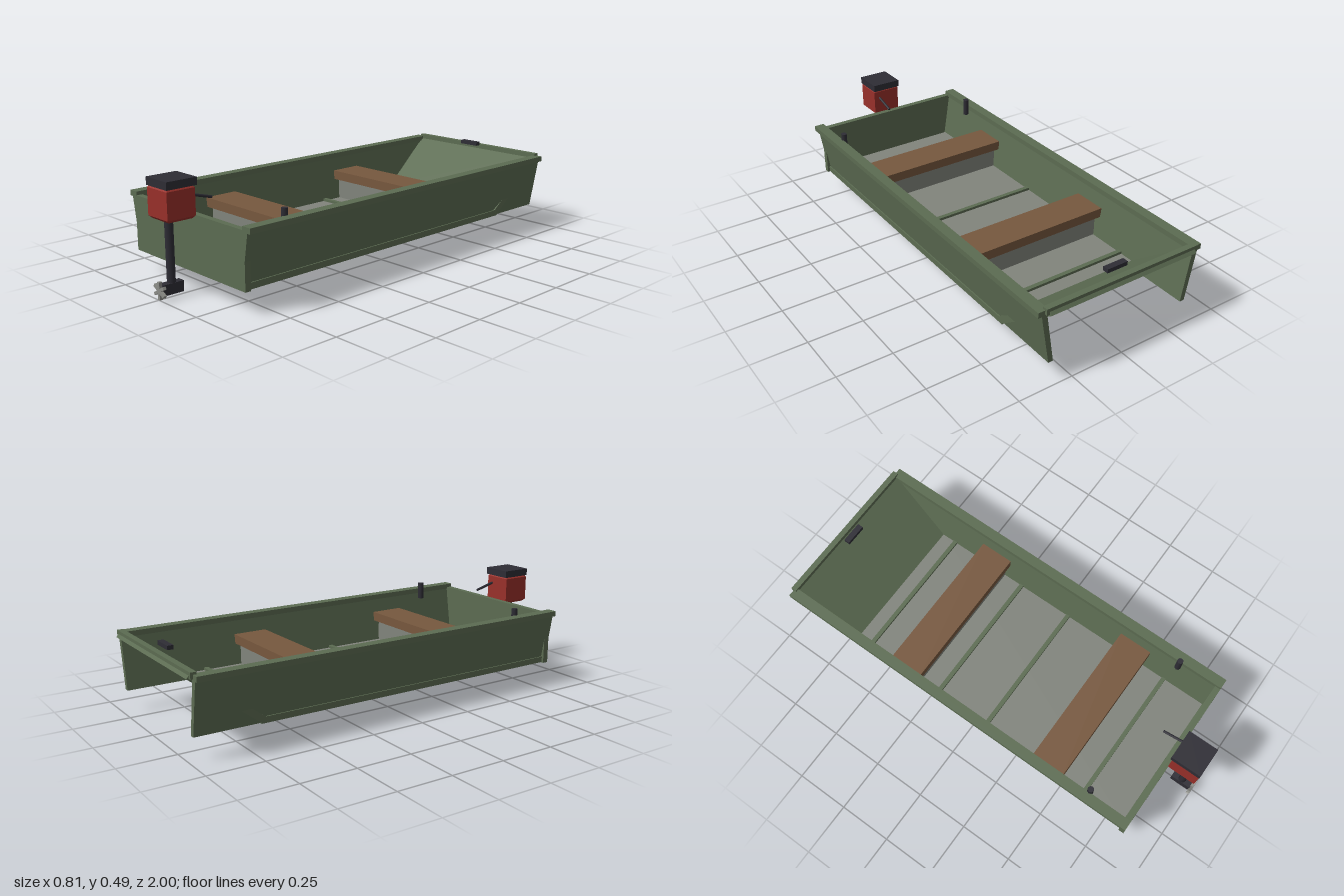
import * as THREE from 'three';

const mat = (name, color) => Object.assign(new THREE.MeshStandardMaterial({ color }), { name });

export function createModel() {
  const green = mat('hull green', 0x5c6c52);
  const grey = mat('floor grey', 0x81847c);
  const wood = mat('seat wood', 0x77583e);
  const dark = mat('dark metal', 0x2e2d35);
  const red = mat('motor red', 0x98302a);
  const silver = mat('propeller metal', 0x8c8d88);

  const boat = new THREE.Group();
  boat.name = 'boat';
  const add = (name, geometry, material, parent = boat) => {
    const mesh = new THREE.Mesh(geometry, material);
    mesh.name = name;
    parent.add(mesh);
    return mesh;
  };
  // Box given by its limits on each axis
  const box = (name, material, [x0, x1], [y0, y1], [z0, z1], parent = boat) => {
    const mesh = add(name, new THREE.BoxGeometry(x1 - x0, y1 - y0, z1 - z0), material, parent);
    mesh.position.set((x0 + x1) / 2, (y0 + y1) / 2, (z0 + z1) / 2);
    return mesh;
  };
  // Outline extruded without bevel
  const prism = (points, depth) => new THREE.ExtrudeGeometry(
    new THREE.Shape(points.map(p => new THREE.Vector2(...p))), { depth, bevelEnabled: false });

  // Bottom, floor and transom
  box('bottom', green, [-0.36, 0.36], [0.095, 0.122], [-0.69, 0.857]);
  box('floor', grey, [-0.335, 0.335], [0.121, 0.126], [-0.675, 0.825]);
  box('transom', green, [-0.37, 0.37], [0.093, 0.335], [0.83, 0.857]);

  // Leaning sides, gunwales and oarlocks
  for (const s of [1, -1]) {
    const section = [[0.328, 0.096], [0.35, 0.096], [0.391, 0.335], [0.366, 0.335]];
    const side = add('side', prism(section.map(([x, y]) => [s * x, y]), 1.833), green);
    side.position.z = -0.976;
    const rail = box('gunwale', green, [0.36, 0.407], [0.327, 0.351], [-0.977, 0.857]);
    rail.position.x *= s;
    const lock = add('oarlock', new THREE.CylinderGeometry(0.014, 0.014, 0.08, 8), dark);
    lock.position.set(s * 0.352, 0.341, 0.645);
  }

  // Sloping bow panel, drawn in the side plane (z, y) and turned across the boat
  const bow = add('bowPanel', prism(
    [[-0.672, 0.124], [-0.688, 0.098], [-0.998, 0.333], [-0.982, 0.354]], 0.724), green);
  bow.rotation.y = -Math.PI / 2;
  bow.position.x = 0.362;
  box('bowRail', green, [-0.376, 0.376], [0.333, 0.361], [-0.988, -0.962]);
  box('bowHandle', dark, [-0.05, 0.05], [0.362, 0.38], [-0.938, -0.911]);

  // Floor ribs
  for (const z of [-0.6, -0.2, 0.072, 0.613])
    box('floorRib', green, [-0.333, 0.333], [0.12, 0.138], [z - 0.01, z + 0.01]);

  // Bench seats on grey supports
  for (const z of [-0.36, 0.425]) {
    box('seat', wood, [-0.353, 0.353], [0.222, 0.265], [z - 0.08, z + 0.08]);
    box('seatSupport', grey, [-0.335, 0.335], [0.12, 0.224], [z - 0.06, z + 0.06]);
  }

  // Outboard motor
  const motor = new THREE.Group();
  motor.name = 'motor';
  boat.add(motor);
  const b = 0.011;
  const w = 0.067 - b, d = 0.0655 - b;
  const cowl = add('cowl', new THREE.ExtrudeGeometry(
    new THREE.Shape([[-w, -d], [w, -d], [w, d], [-w, d]].map(p => new THREE.Vector2(...p))),
    { depth: 0.136 - 2 * b, bevelThickness: b, bevelSize: b, bevelSegments: 1 }), red, motor);
  cowl.rotation.x = -Math.PI / 2;
  cowl.position.set(0, 0.321 + b, 0.921);
  box('cowlCap', dark, [-0.07, 0.07], [0.454, 0.487], [0.847, 0.988], motor);
  const shaft = add('shaft', new THREE.CylinderGeometry(0.018, 0.018, 0.29, 8), dark, motor);
  shaft.position.set(0, 0.19, 0.939);
  box('gearHousing', dark, [-0.017, 0.017], [0.016, 0.062], [0.892, 0.988], motor);

  // Steering handle
  const tiller = add('tiller', new THREE.CylinderGeometry(0.006, 0.006, 0.13, 8), dark, motor);
  tiller.position.set(0.038, 0.402, 0.82);
  tiller.rotation.x = Math.PI / 2 - 0.25;
  tiller.rotation.x = Math.atan2(0.13, 0.035);

  // Three crossed bars make the six propeller blades
  for (let i = 0; i < 3; i++) {
    const blade = add('propellerBlade', new THREE.BoxGeometry(0.013, 0.075, 0.014), silver, motor);
    blade.position.set(0, 0.0375, 0.993);
    blade.rotation.z = i * Math.PI / 3;
  }
  return boat;
}
